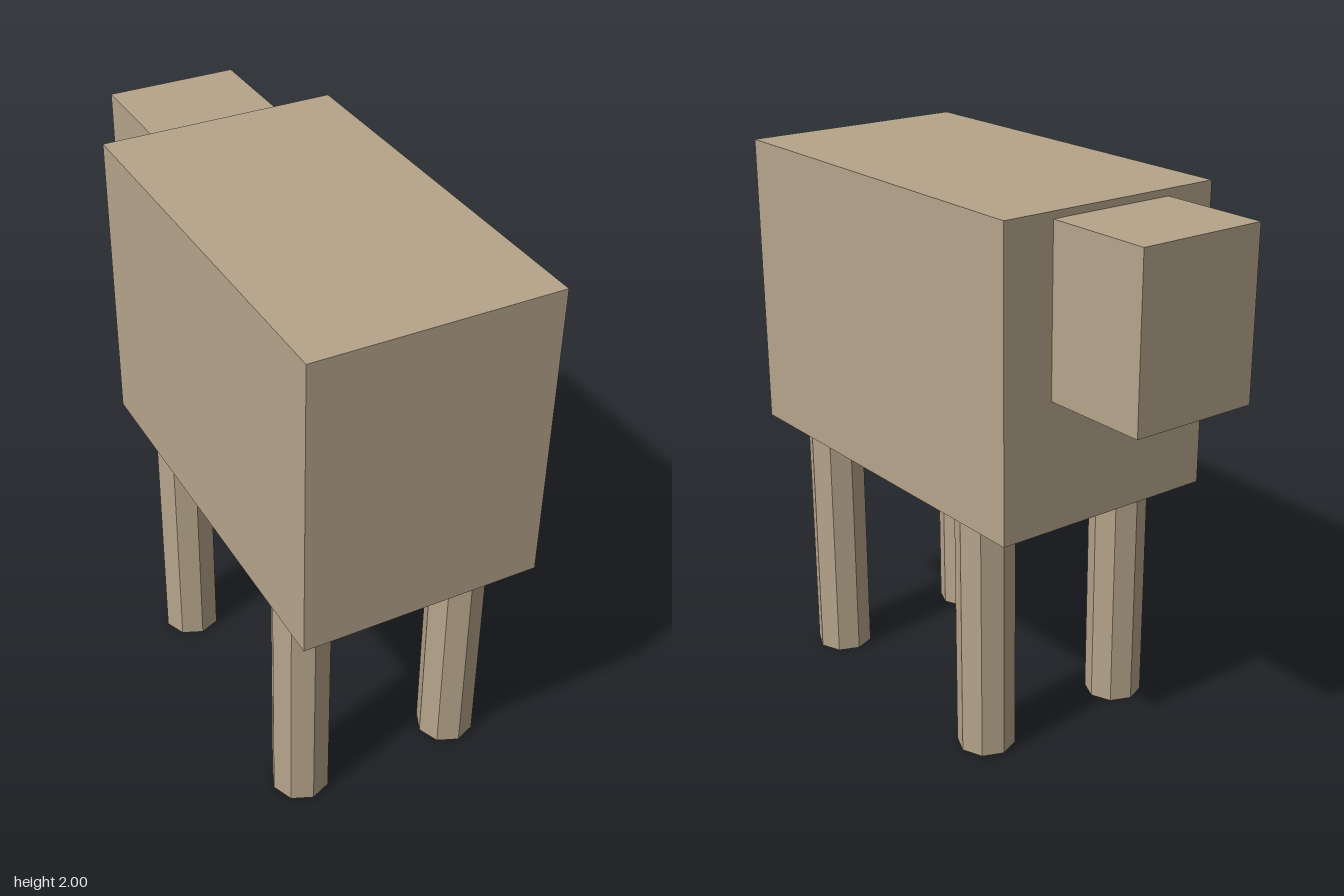
import * as THREE from 'three';

export function createModel() {
  const model = new THREE.Group();
  const tan = new THREE.MeshStandardMaterial({ color: 0xb5a48a });
  tan.name = 'tan';

  const add = (name, geometry, x, y, z) => {
    const mesh = new THREE.Mesh(geometry, tan);
    mesh.name = name;
    mesh.position.set(x, y, z);
    model.add(mesh);
  };

  // Box body, with the head on its rear (-z) end
  add('body', new THREE.BoxGeometry(0.862, 1.08, 1.485), 0, 1.46, 0.2035);
  add('head', new THREE.BoxGeometry(0.478, 0.595, 0.407), 0, 1.6775, -0.7425);

  // Four octagonal legs, corners on the axes, flat facets
  const legGeometry = new THREE.CylinderGeometry(0.105, 0.105, 0.92, 8).toNonIndexed();
  legGeometry.computeVertexNormals();
  for (const [side, x] of [['left', 0.303], ['right', -0.303]]) {
    for (const [end, z] of [['Front', 0.681], ['Back', -0.268]]) {
      add(side + end + 'Leg', legGeometry, x, 0.46, z);
    }
  }
  return model;
}
